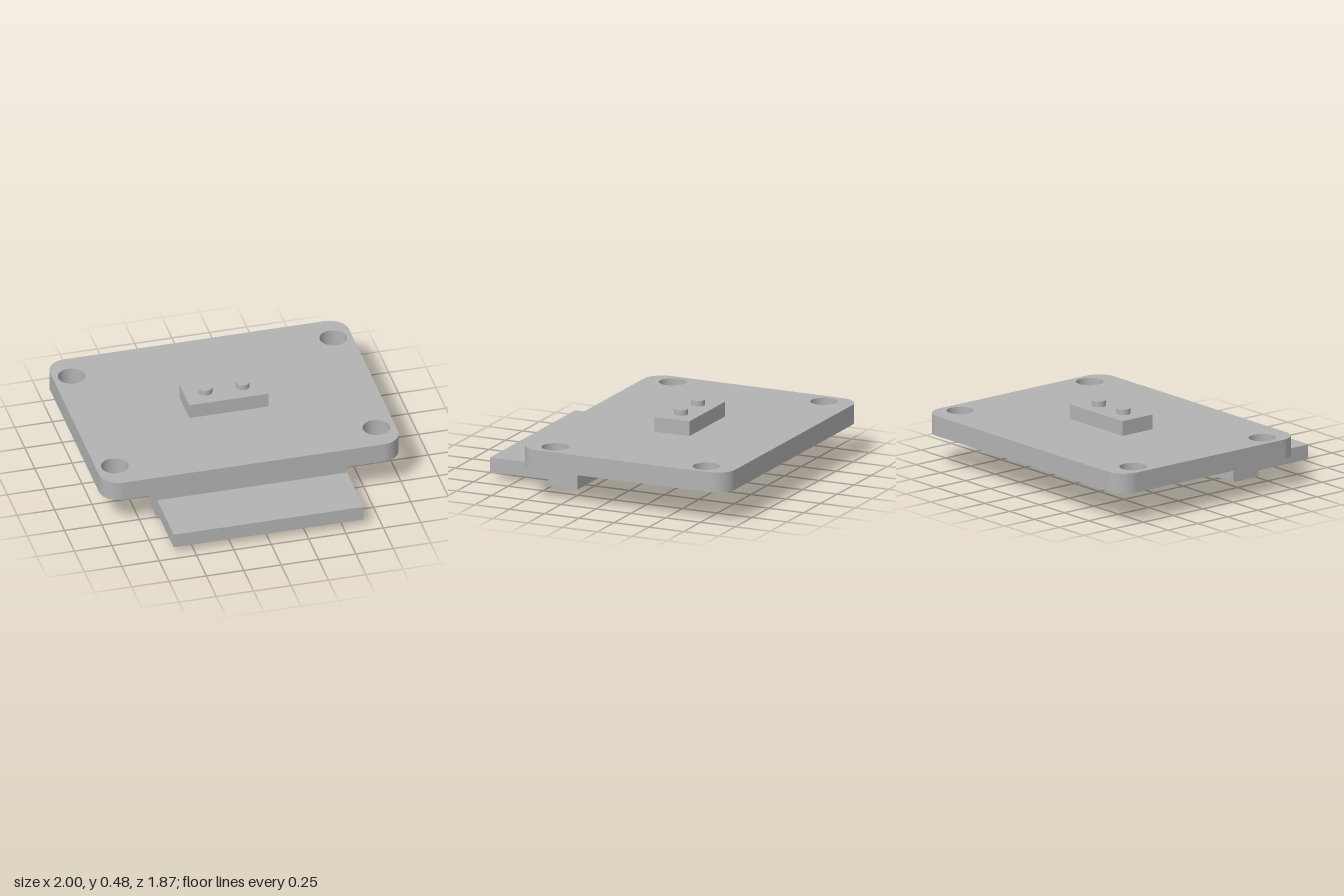
import * as THREE from 'three';
import { toCreasedNormals } from 'three/addons/utils/BufferGeometryUtils.js';

export function createModel() {
  const model = new THREE.Group();
  model.name = 'mountingPlateAssembly';
  const grey = new THREE.MeshStandardMaterial({ name: 'plain grey', color: 0xb3b3b3 });

  const add = (name, geometry, x = 0, y = 0, z = 0) => {
    const mesh = new THREE.Mesh(geometry, grey);
    mesh.name = name;
    mesh.position.set(x, y, z);
    model.add(mesh);
  };

  // Plate: rounded rectangle with four through holes (shape y is -z)
  const w = 1, back = 0.937, front = -0.557, r = 0.13;
  const outline = new THREE.Shape();
  outline.absarc(w - r, back - r, r, 0, Math.PI / 2);
  outline.absarc(-w + r, back - r, r, Math.PI / 2, Math.PI);
  outline.absarc(-w + r, front + r, r, Math.PI, Math.PI * 1.5);
  outline.absarc(w - r, front + r, r, Math.PI * 1.5, Math.PI * 2);
  for (const x of [-0.875, 0.875]) {
    for (const y of [0.733, -0.353]) {
      outline.holes.push(new THREE.Path().absarc(x, y, 0.089, 0, Math.PI * 2, true));
    }
  }
  const plate = new THREE.ExtrudeGeometry(outline, { depth: 0.133, bevelEnabled: false, curveSegments: 20 });
  plate.rotateX(-Math.PI / 2);
  add('plate', toCreasedNormals(plate, 0.6), 0, 0.21, 0);

  // Raised block with two short pins
  add('topBlock', new THREE.BoxGeometry(0.53, 0.1, 0.252), 0, 0.392, -0.19);
  for (const side of [-1, 1]) {
    add(side > 0 ? 'leftPin' : 'rightPin',
      new THREE.CylinderGeometry(0.045, 0.045, 0.037, 40), side * 0.125, 0.4605, -0.19);
  }

  // Connector under the front edge: side profile (z, y) swept across x
  const profile = new THREE.Shape([
    [0.31, 0], [0.52, 0], [0.52, 0.045], [0.937, 0.045],
    [0.937, 0.142], [0.52, 0.142], [0.52, 0.21], [0.31, 0.21],
  ].map(([z, y]) => new THREE.Vector2(z, y)));
  const connector = new THREE.ExtrudeGeometry(profile, { depth: 1.27, bevelEnabled: false });
  connector.translate(0, 0, -0.635).rotateY(-Math.PI / 2);
  add('connector', connector);

  return model;
}
